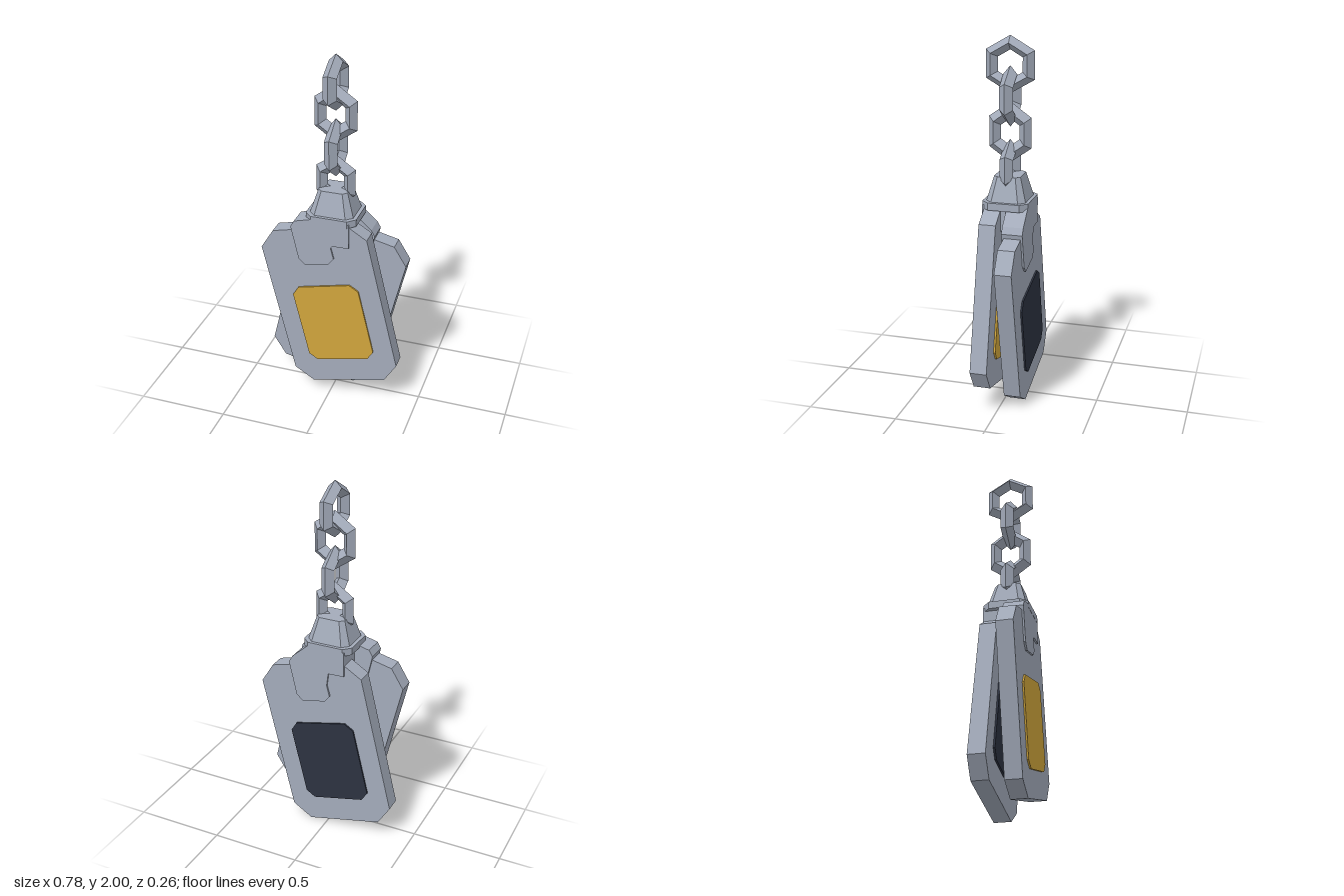
import * as THREE from 'three';

const mat = (name, color) => {
  const m = new THREE.MeshStandardMaterial({ color });
  m.name = name;
  return m;
};

// Rectangle with cut corners, given by half sizes
function cutRect(w, h, c) {
  return [[w, -h + c], [w, h - c], [w - c, h], [-w + c, h], [-w, h - c], [-w, -h + c], [-w + c, -h], [w - c, -h]];
}

// Flat plate from an outline, filling z0 to z1
function plate(points, z0, z1) {
  const shape = new THREE.Shape(points.map(([x, y]) => new THREE.Vector2(x, y)));
  const g = new THREE.ExtrudeGeometry(shape, { depth: z1 - z0, bevelEnabled: false });
  return g.translate(0, 0, z0);
}

// Upright block with cut corners that tapers to sx, sz at its top
function taperedBlock(w, d, c, y0, y1, sx = 1, sz = 1) {
  const g = plate(cutRect(w, d, c), 0, y1 - y0).rotateX(-Math.PI / 2);
  const p = g.attributes.position;
  for (let i = 0; i < p.count; i++) {
    if (p.getY(i) > (y1 - y0) / 2) {
      p.setX(i, p.getX(i) * sx);
      p.setZ(i, p.getZ(i) * sz);
    }
  }
  g.translate(0, y0, 0);
  g.computeVertexNormals();
  return g;
}

// Six-sided chain link with a diamond section
function linkGeometry(halfWidth, halfHeight) {
  const outer = halfWidth / Math.cos(Math.PI / 6);
  const tube = 0.037;
  const g = new THREE.TorusGeometry(outer - tube, tube, 4, 6).rotateZ(Math.PI / 6);
  g.scale(1, halfHeight / outer, 1);
  const flat = g.toNonIndexed();
  flat.computeVertexNormals();
  return flat;
}

export function createModel() {
  const steel = mat('steel', 0xa3abba);
  const gold = mat('gold', 0xd0a53c);
  const dark = mat('darkNavy', 0x2c3240);
  steel.flatShading = true;

  const model = new THREE.Group();
  model.name = 'tagsOnChain';
  const add = (parent, name, geometry, material) => {
    const m = new THREE.Mesh(geometry, material);
    m.name = name;
    parent.add(m);
    return m;
  };

  // Two tags back to back; the rear one is turned round and hangs lower
  const tags = [
    { name: 'front', turn: 0, y: 0.585, drop: 0, panel: gold },
    { name: 'back', turn: Math.PI, y: 0.525, drop: 0.06, panel: dark },
  ];
  for (const { name, turn, y, drop, panel } of tags) {
    const side = new THREE.Group();
    side.name = name + 'Side';
    side.rotation.y = turn;
    model.add(side);

    const tag = new THREE.Group();
    tag.name = name + 'Tag';
    tag.position.y = y;
    tag.rotation.z = 0.233;
    side.add(tag);
    add(tag, name + 'TagPlate', plate(cutRect(0.307, 0.487, 0.092), 0.022, 0.114), steel);
    add(tag, name + 'TagPanel', plate(cutRect(0.193, 0.238, 0.043), 0.012, 0.123).translate(0, -0.102, 0), panel);

    // Hooked clasp gripping the top of the tag
    const hook = [
      [0.11, 1.12], [-0.1, 1.12], [-0.195, 1.095 - drop], [-0.215, 1.06 - drop],
      [-0.172, 0.87 - drop], [-0.135, 0.835 - drop], [0, 0.865 - drop], [0.027, 0.9 - drop],
      [0.01, 0.965 - drop], [0.02, 0.978], [0.11, 0.98],
    ];
    add(side, name + 'Hook', plate(hook, 0.011, 0.124), steel);
  }

  // Cap joining the tags to the chain
  add(model, 'claspCore', new THREE.BoxGeometry(0.22, 0.14, 0.04).translate(0, 1.05, 0), steel);
  add(model, 'collar', taperedBlock(0.14, 0.125, 0.04, 1.1, 1.14), steel);
  add(model, 'capTaper', taperedBlock(0.12, 0.107, 0.034, 1.14, 1.27, 0.67, 0.67), steel);

  // Chain links, each a quarter turn from the next
  const links = [
    { y: 1.85, w: 0.13, h: 0.15 },
    { y: 1.685, w: 0.115, h: 0.16 },
    { y: 1.495, w: 0.115, h: 0.163 },
    { y: 1.31, w: 0.108, h: 0.148 },
  ];
  links.forEach(({ y, w, h }, i) => {
    const link = add(model, 'chainLink' + (i + 1), linkGeometry(w, h), steel);
    link.position.y = y;
    link.rotation.y = i % 2 === 0 ? Math.PI / 2 : 0;
  });

  return model;
}
